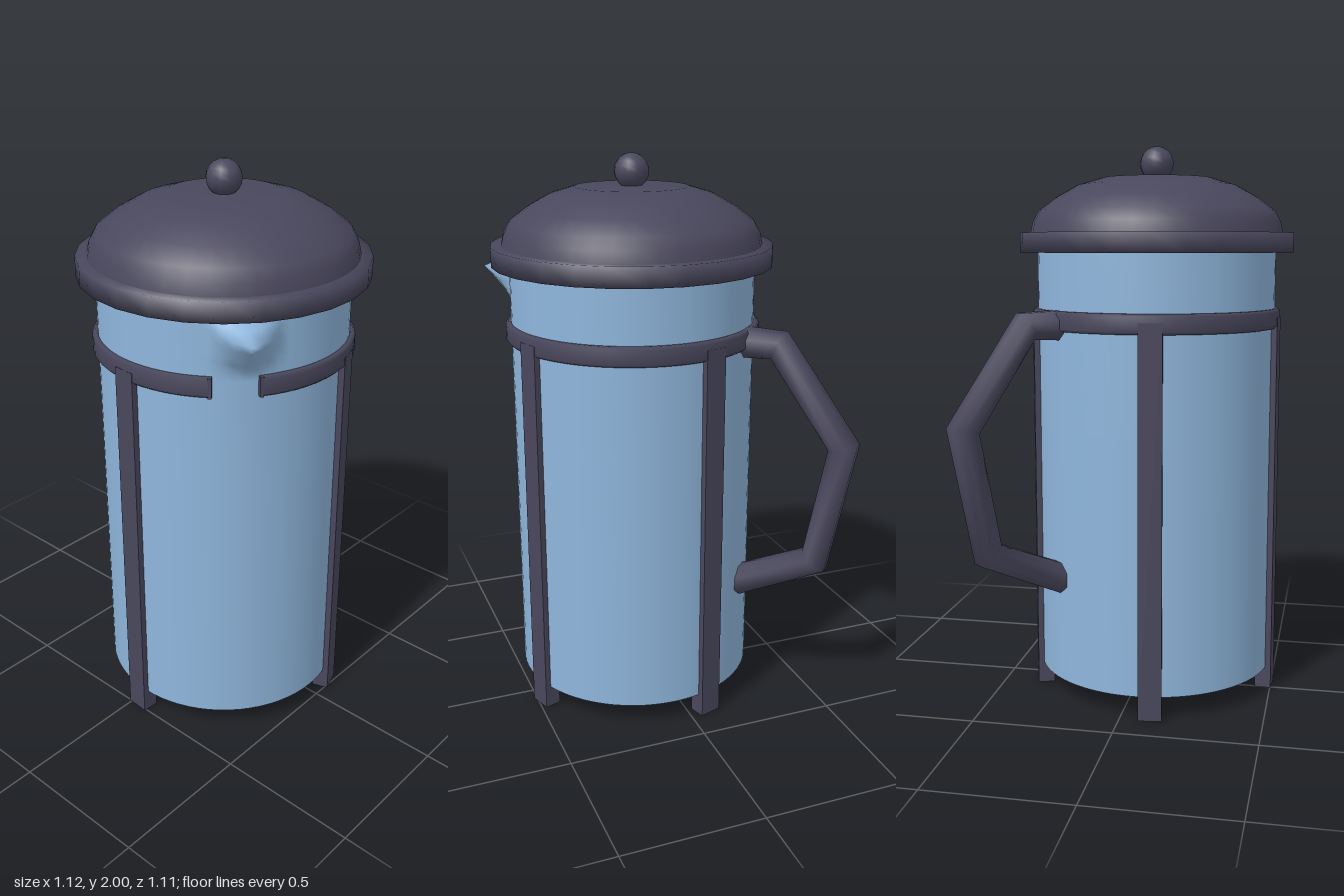
import * as THREE from 'three';

const dark = new THREE.MeshStandardMaterial({ color: 0x49475c });
dark.name = 'charcoal';
const glass = new THREE.MeshStandardMaterial({ color: 0x8fb6dc });
glass.name = 'pale blue';

const RAD = Math.PI / 180;
const pts = (list) => list.map(([r, y]) => new THREE.Vector2(r, y));

export function createModel() {
  const model = new THREE.Group();
  model.name = 'coffeePress';
  const press = new THREE.Group();
  press.name = 'press';
  press.position.set(0.066, 0, 0.051); // the jar axis sits off the centre
  model.add(press);

  const add = (name, geometry, material, parent = press) => {
    const mesh = new THREE.Mesh(geometry, material);
    mesh.name = name;
    parent.add(mesh);
    return mesh;
  };

  // Glass jar: a lathe whose wall is pulled out into a pointed spout
  const spoutAngle = 50 * RAD;
  const rows = [0.08, 0.5, 1, 1.4, 1.44, 1.47, 1.5, 1.54, 1.575, 1.6, 1.62];
  const jar = new THREE.LatheGeometry(pts(rows.map((y) => [0.436, y])), 72, -5 * RAD);
  const pos = jar.attributes.position;
  for (let i = 0; i < pos.count; i++) {
    const x = pos.getX(i), y = pos.getY(i), z = pos.getZ(i);
    const side = Math.max(0, 1 - Math.abs(Math.atan2(x, z) - spoutAngle) / (15 * RAD));
    const rise = y < 1.575 ? Math.max(0, (y - 1.43) / 0.145) : 1 - (y - 1.575) / 0.06;
    const k = 1 + (0.155 * side * rise) / 0.436;
    pos.setXYZ(i, x * k, y, z * k);
  }
  jar.computeVertexNormals();
  add('jar', jar, glass);

  // Dark lining, seen through the open bottom
  add('lining', new THREE.LatheGeometry(
    pts([[0.425, 1.62], [0.425, 0.08], [0.436, 0.08]]), 72), dark);

  // Lid: flat underside, straight rim, then the dome
  add('lidRim', new THREE.LatheGeometry(
    pts([[0, 1.62], [0.5, 1.62], [0.5, 1.69], [0.44, 1.69]]), 26), dark);
  add('lidDome', new THREE.LatheGeometry(pts([
    [0.462, 1.685], [0.452, 1.73], [0.43, 1.77], [0.37, 1.815],
    [0.29, 1.86], [0.2, 1.887], [0, 1.89],
  ]), 40), dark);
  add('knob', new THREE.SphereGeometry(0.062, 12, 10), dark).position.y = 1.938;

  // Collar ring, left open below the spout
  const gapStart = 36 * RAD, gapEnd = 57 * RAD;
  add('collar', new THREE.LatheGeometry(
    pts([[0.42, 1.35], [0.445, 1.35], [0.455, 1.36], [0.455, 1.41],
      [0.445, 1.42], [0.42, 1.42], [0.42, 1.35]]),
    60, gapEnd, Math.PI * 2 - (gapEnd - gapStart)), dark);
  for (const a of [gapStart, gapEnd]) {
    const end = add('collarEnd', new THREE.BoxGeometry(0.012, 0.07, 0.035), dark);
    end.position.set(0.4375 * Math.sin(a), 1.385, 0.4375 * Math.cos(a));
    end.rotation.y = a;
  }

  // Four upright legs, set into the wall
  for (const [x, z] of [[-0.03, 0.43], [0.41, -0.138], [-0.136, -0.41], [-0.43, 0.055]]) {
    const a = Math.atan2(x, z);
    const leg = add('leg', new THREE.BoxGeometry(0.083, 1.39, 0.06), dark);
    leg.position.set(0.425 * Math.sin(a), 0.695, 0.425 * Math.cos(a));
    leg.rotation.y = a;
  }

  // Angular handle, opposite the spout
  const bends = [[0.42, 1.37], [0.555, 1.37], [0.8, 1.03], [0.715, 0.59], [0.42, 0.455]];
  const path = new THREE.CurvePath();
  const v = bends.map(([r, y]) => new THREE.Vector3(r, y, 0));
  const handle = new THREE.Group();
  handle.name = 'handle';
  handle.rotation.y = Math.PI * 0.755;
  press.add(handle);
  for (let i = 0; i < v.length - 1; i++) path.add(new THREE.LineCurve3(v[i], v[i + 1]));

  // Mitred eight-sided sections, one ring at each bend
  const sides = 8, verts = [], index = [];
  v.forEach((p, i) => {
    const a = v[Math.max(i - 1, 0)], b = v[Math.min(i + 1, v.length - 1)];
    const t = b.clone().sub(p).normalize().add(p.clone().sub(a).normalize()).normalize();
    const n = new THREE.Vector3(-t.y, t.x, 0);
    for (let j = 0; j < sides; j++) {
      const q = ((j + 0.5) / sides) * Math.PI * 2;
      const o = Math.cos(q) * 0.056;
      verts.push(p.x + n.x * o, p.y + n.y * o, Math.sin(q) * 0.06);
      if (i > 0) {
        const c = i * sides + j, d = i * sides + ((j + 1) % sides);
        index.push(c - sides, d - sides, d, c - sides, d, c);
      }
    }
  });
  const grip = new THREE.BufferGeometry();
  grip.setAttribute('position', new THREE.Float32BufferAttribute(verts, 3));
  grip.setIndex(index);
  grip.computeVertexNormals();
  add('grip', grip, dark, handle);

  return model;
}
